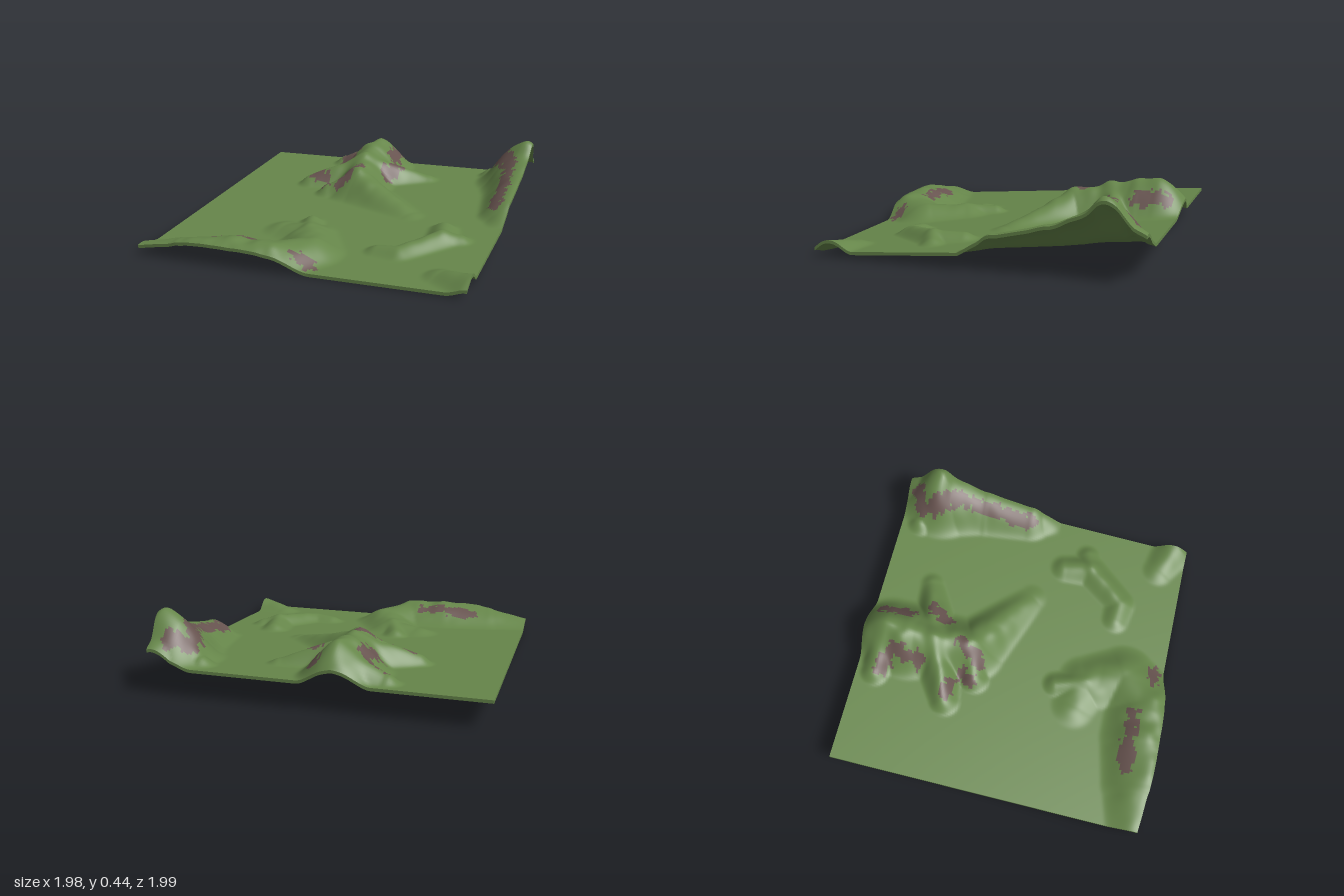
import * as THREE from 'three';

const N = 150;            // grid cells per side
const THICK = 0.018;      // thickness of the sheet of ground
const { lerp, clamp, smoothstep } = THREE.MathUtils;

// Crest lines of the hills: [x, z, height]
const RIGHT = [[0.84, -1, 0.09], [0.84, -0.78, 0.245], [0.87, -0.5, 0.15], [0.89, -0.2, 0.1], [0.92, 0, 0]];
const MOUNTAIN = [[-0.17, -0.96, 0.06], [-0.16, -0.78, 0.19], [-0.16, -0.66, 0.205],
  [-0.14, -0.5, 0.17], [-0.1, -0.28, 0.15], [0.36, -0.02, 0.015]];
const FRONT = [[-0.87, 0.95, 0.045], [-0.6, 0.92, 0.1], [-0.33, 0.87, 0.125], [-0.1, 0.84, 0.115],
  [0.03, 0.68, 0.09], [-0.08, 0.45, 0.06], [-0.25, 0.42, 0.03]];
const MOUND = [[0.38, 0.52, 0.03], [0.5, 0.52, 0.045], [0.66, 0.28, 0.06], [0.62, 0.12, 0.04]];
const CORNER = [[0.8, 0.7, 0.03], [0.98, 0.76, 0.07]];

// A ridge is as wide as it is high, scaled to make it broad or sharp
const ridge = (width, points) => ({ width, points });
const spur = (parent, i, ...tip) => ridge(0.75, [parent[i], tip]);
const RIDGES = [
  ridge(1, RIGHT), ridge(1, MOUNTAIN), ridge(1.35, FRONT), ridge(0.85, MOUND), ridge(1, CORNER),
  spur(RIGHT, 1, 0.62, -0.86, 0.05),
  spur(MOUNTAIN, 1, -0.42, -0.8, 0.05),
  spur(MOUNTAIN, 3, -0.46, -0.34, 0.06),
  spur(MOUNTAIN, 3, 0.24, -0.65, 0.03),
  spur(MOUNTAIN, 4, -0.27, -0.21, 0.06),
  spur(FRONT, 5, -0.15, 0.28, 0.04),
  spur(MOUND, 2, 0.75, 0.24, 0.035),
];

// Centre lines of the bare rock patches: [x1, z1, x2, z2]
const ROCKS = [
  [-0.4, -0.77, -0.28, -0.72], [-0.28, -0.72, -0.3, -0.56], [-0.05, -0.88, -0.03, -0.7],
  [0.01, -0.48, 0.05, -0.57], [-0.44, -0.35, -0.37, -0.34], [-0.31, -0.23, -0.29, -0.29],
  [-0.19, -0.21, -0.13, -0.33], [0.66, -0.86, 0.78, -0.93], [0.68, -0.8, 0.79, -0.64],
  [0.79, -0.64, 0.83, -0.17], [-0.53, 0.81, -0.2, 0.77], [0.05, 0.85, 0.12, 0.84],
];

function hash(i, j) {
  const s = Math.sin(i * 127.1 + j * 311.7) * 43758.5453;
  return s - Math.floor(s);
}

// Smooth value noise in -1..1
function noise(x, z) {
  const i = Math.floor(x), j = Math.floor(z);
  const u = smoothstep(x - i, 0, 1), v = smoothstep(z - j, 0, 1);
  const a = lerp(hash(i, j), hash(i + 1, j), u);
  const b = lerp(hash(i, j + 1), hash(i + 1, j + 1), u);
  return lerp(a, b, v) * 2 - 1;
}

// Distance to a segment and the position along it
function toSegment(x, z, x1, z1, x2, z2) {
  const dx = x2 - x1, dz = z2 - z1;
  const t = clamp(((x - x1) * dx + (z - z1) * dz) / (dx * dx + dz * dz), 0, 1);
  return [Math.hypot(x - x1 - t * dx, z - z1 - t * dz), t];
}

// Height of the hills above the sloping plain: ridges blended by a soft maximum
function hillHeight(x, z) {
  let sum = 0;
  for (const { width, points } of RIDGES) {
    let best = 0;
    for (let k = 0; k + 1 < points.length; k++) {
      const [x1, z1, h1] = points[k], [x2, z2, h2] = points[k + 1];
      const [d, t] = toSegment(x, z, x1, z1, x2, z2);
      const h = lerp(h1, h2, t);
      const q = d / (width * (0.08 + 0.9 * h));
      if (q < 1) best = Math.max(best, h * (1 - q * q) ** 2);
    }
    sum += best ** 7;
  }
  return sum ** (1 / 7) * (1 + 0.08 * noise(x * 13, z * 13));
}

function isRock(x, z) {
  const reach = 0.035 + 0.025 * noise(x * 45, z * 45);
  return ROCKS.some((line) => toSegment(x, z, ...line)[0] < reach);
}

// Point of the upper surface: a slightly turned square, sloping up to the back
function groundPoint(u, v) {
  const s = (u - 0.5) * 1.857, t = (v - 0.5) * 1.845;
  const x = s + 0.065 * t - 0.006, z = t - 0.067 * s - 0.012;
  const h = hillHeight(x, z);
  // hills bulge a little past the edges
  const bulgeX = 0.1 * h * smoothstep(x, 0.75, 0.88);
  const inner = 1 - smoothstep(x, 0.4, 0.6);
  const bulgeZ = h * inner * (0.4 * smoothstep(z, 0.6, 0.95) - 0.2 * smoothstep(-z, 0.8, 0.93));
  return [x + bulgeX, 0.0905 - 0.081 * z + h, z + bulgeZ];
}

function geometryFrom(positions, index) {
  const g = new THREE.BufferGeometry();
  g.setAttribute('position', new THREE.Float32BufferAttribute(positions, 3));
  g.setIndex(index);
  g.computeVertexNormals();
  return g;
}

export function createModel() {
  const group = new THREE.Group();
  const grass = new THREE.MeshStandardMaterial({ color: 0x66864a });
  const rock = new THREE.MeshStandardMaterial({ color: 0x685450 });
  const add = (name, geometry, material) => {
    const mesh = new THREE.Mesh(geometry, material);
    mesh.name = name;
    group.add(mesh);
  };

  const top = [], W = N + 1;
  for (let j = 0; j <= N; j++) for (let i = 0; i <= N; i++) top.push(...groundPoint(i / N, j / N));
  const under = top.map((c, k) => (k % 3 === 1 ? c - THICK : c));

  // Sort the upper faces into grass and rock
  const all = [], grassFaces = [], rockFaces = [], underFaces = [];
  for (let j = 0; j < N; j++) for (let i = 0; i < N; i++) {
    const a = j * W + i, b = a + 1, c = a + W, d = c + 1;
    const faces = [a, c, b, b, c, d];
    all.push(...faces);
    underFaces.push(a, b, c, b, d, c);
    (isRock(top[a * 3], top[a * 3 + 2]) ? rockFaces : grassFaces).push(...faces);
  }
  const upper = geometryFrom(top, all);
  add('grassyGround', upper.clone().setIndex(grassFaces), grass);
  add('rockPatches', upper.clone().setIndex(rockFaces), rock);
  add('underside', geometryFrom(under, underFaces), grass);

  // Rim closing the four edges
  const edges = [(k) => N * W + k, (k) => (N - k) * W + N, (k) => N - k, (k) => k * W];
  edges.forEach((at) => {
    const pos = [], index = [];
    for (let k = 0; k <= N; k++) {
      const p = at(k) * 3;
      pos.push(...top.slice(p, p + 3), ...under.slice(p, p + 3));
      if (k < N) index.push(2 * k, 2 * k + 1, 2 * k + 2, 2 * k + 2, 2 * k + 1, 2 * k + 3);
    }
    add('groundRim', geometryFrom(pos, index), grass);
  });
  return group;
}
